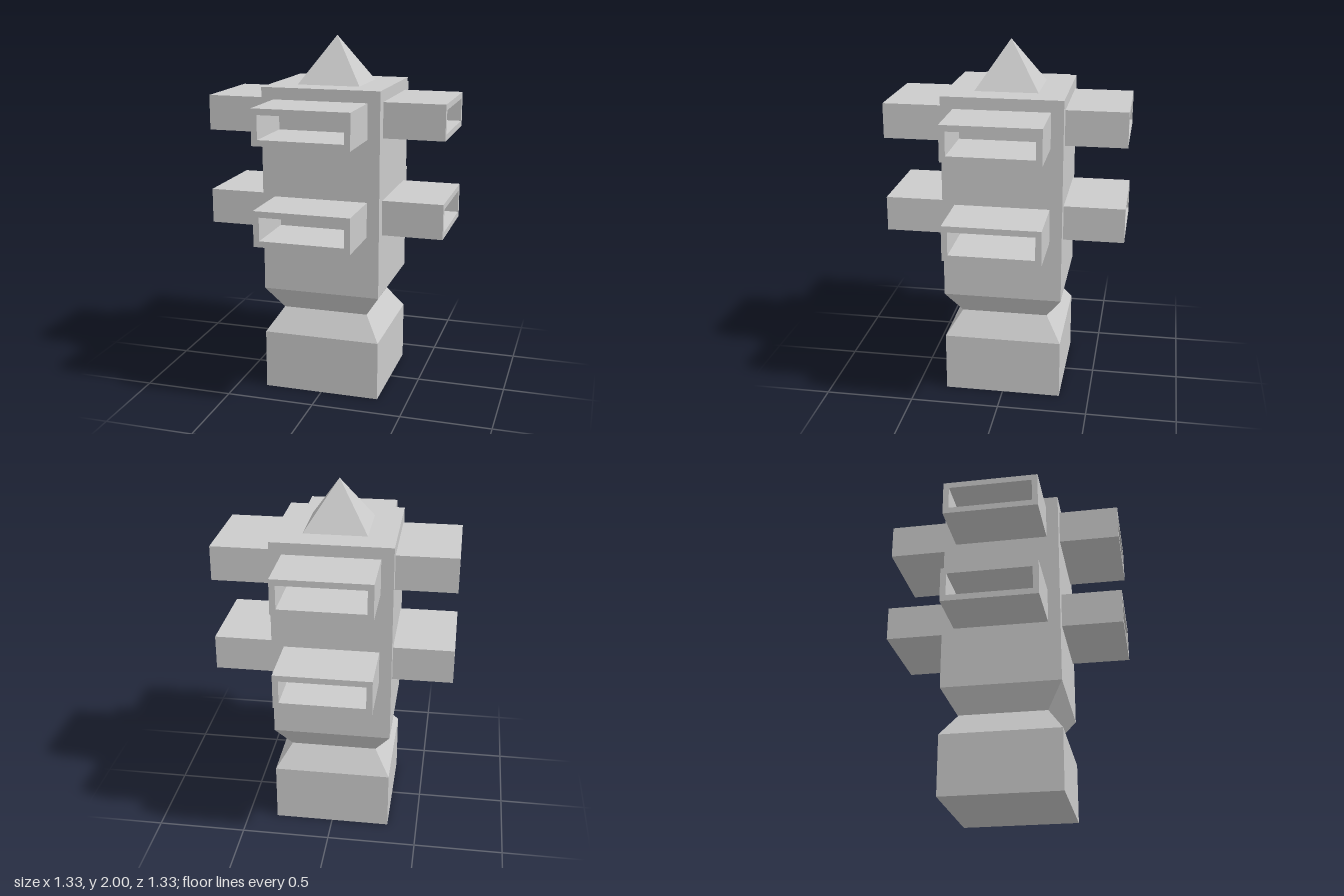
import * as THREE from 'three';

const material = new THREE.MeshStandardMaterial({ color: 0xcccccc, flatShading: true });

// Square-section solid from [half width, height] pairs, listed bottom to top
function squareColumn(name, profile) {
  const points = profile.map(([half, y]) => new THREE.Vector2(half * Math.SQRT2, y));
  const geometry = new THREE.LatheGeometry(points, 4, Math.PI / 4).toNonIndexed();
  geometry.computeVertexNormals();
  const mesh = new THREE.Mesh(geometry, material);
  mesh.name = name;
  return mesh;
}

// Centred rectangle outline, for the hood walls and their opening
function rectangle(target, halfW, halfH) {
  target.moveTo(-halfW, -halfH);
  target.lineTo(halfW, -halfH);
  target.lineTo(halfW, halfH);
  target.lineTo(-halfW, halfH);
  target.closePath();
  return target;
}

export function createModel() {
  const model = new THREE.Group();
  model.name = 'tower';

  // Base block, pinched waist and tall shaft
  model.add(squareColumn('body', [
    [0, 0], [0.33, 0], [0.33, 0.335], [0.243, 0.467],
    [0.33, 0.6], [0.33, 1.74], [0, 1.74],
  ]));

  // Pyramid on top
  model.add(squareColumn('pyramidCap', [[0.175, 1.74], [0, 2]]));

  // Hollow rectangular hoods, two on each side, closed by the shaft wall
  const outline = rectangle(new THREE.Shape(), 0.262, 0.097);
  outline.holes.push(rectangle(new THREE.Path(), 0.23, 0.064));
  const hoodGeometry = new THREE.ExtrudeGeometry(outline, { depth: 0.335, bevelEnabled: false });
  hoodGeometry.translate(0, 0, 0.33);

  const sides = ['front', 'left', 'back', 'right'];
  const rows = { lower: 1.042, upper: 1.578 };
  sides.forEach((side, i) => {
    for (const [row, y] of Object.entries(rows)) {
      const hood = new THREE.Mesh(hoodGeometry, material);
      hood.name = `${side} ${row} hood`;
      hood.position.y = y;
      hood.rotation.y = (i * Math.PI) / 2;
      model.add(hood);
    }
  });

  return model;
}
